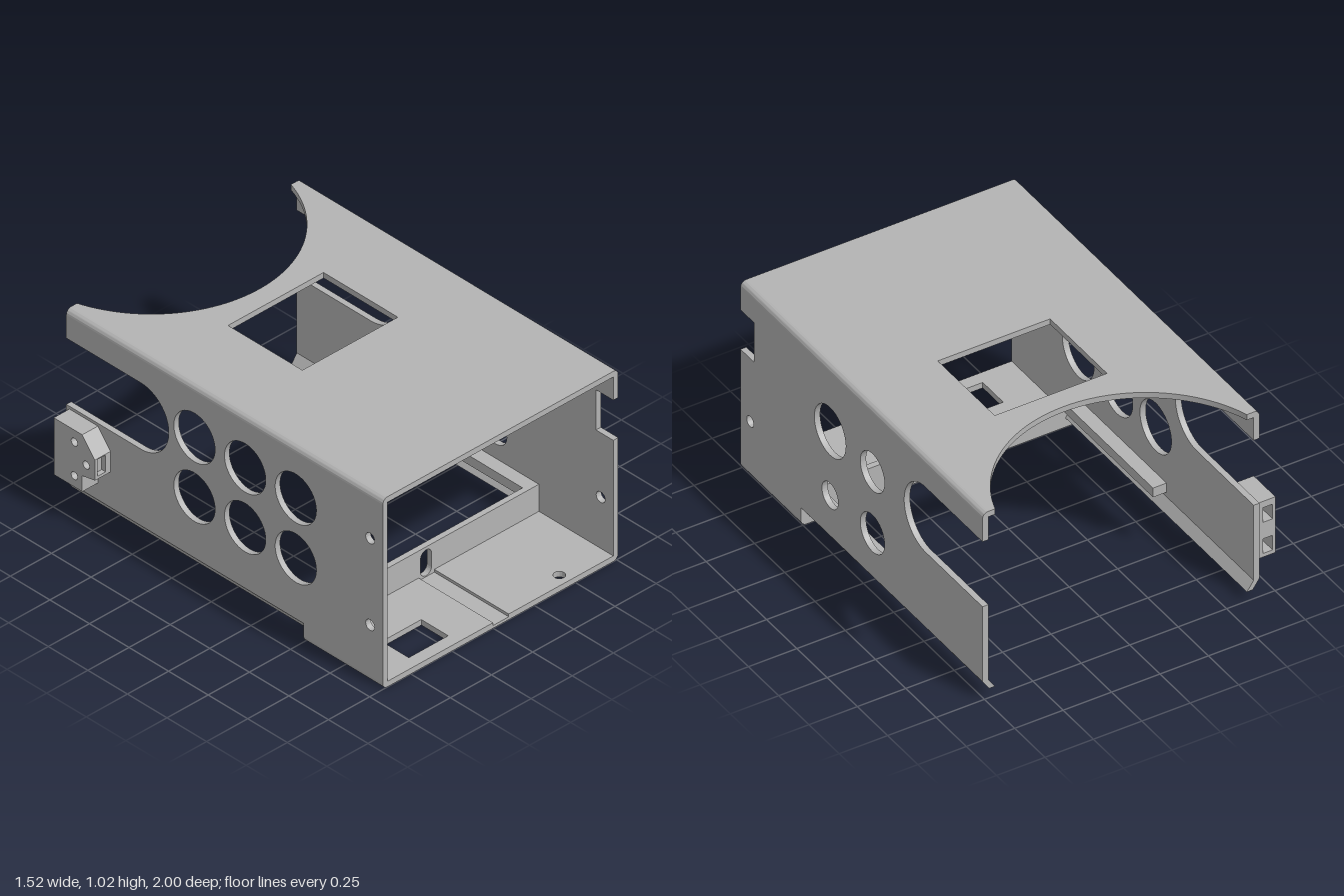
import * as THREE from 'three';
import { toCreasedNormals } from 'three/addons/utils/BufferGeometryUtils.js';

const X0 = -0.67, X1 = 0.76, H = 1.02, T = 0.03, MID = 0.045;

export function createModel() {
  const model = new THREE.Group();
  const grey = new THREE.MeshStandardMaterial({ color: 0xb4b4b4 });
  grey.name = 'grey plastic';

  const add = (name, geometry, x = 0, y = 0, z = 0, parent = model) => {
    const mesh = new THREE.Mesh(geometry, grey);
    mesh.name = name;
    mesh.position.set(x, y, z);
    parent.add(mesh);
    return mesh;
  };
  const extrude = (shape, depth) => toCreasedNormals(
    new THREE.ExtrudeGeometry(shape, { depth, bevelEnabled: false, curveSegments: 32 }), 0.5);
  // horizontal sheet: shape in (x, z), hanging down from its top
  const flat = (shape, depth) => extrude(shape, depth).rotateX(Math.PI / 2);
  // upright sheet: shape in (z, y), growing towards -x
  const upright = (shape, depth) => extrude(shape, depth).rotateY(-Math.PI / 2);
  const poly = (pts) => new THREE.Shape(pts.map(([a, b]) => new THREE.Vector2(a, b)));
  const rect = (a0, b0, a1, b1) => poly([[a0, b0], [a1, b0], [a1, b1], [a0, b1]]);
  const circle = (a, b, r) => new THREE.Path().absarc(a, b, r, 0, Math.PI * 2);
  const box = (name, x0, x1, y0, y1, z0, z1) => add(name,
    new THREE.BoxGeometry(x1 - x0, y1 - y0, z1 - z0), (x0 + x1) / 2, (y0 + y1) / 2, (z0 + z1) / 2);

  // Top panel with a round cut at the back and a window
  const R = 0.682, cz = -1.207, half = Math.sqrt(R * R - (cz + 1) ** 2);
  const a = Math.atan2(-1 - cz, half);
  const top = new THREE.Shape();
  top.moveTo(X0 + T, -1);
  top.lineTo(MID - half, -1);
  top.absarc(MID, cz, R, Math.PI - a, a, true);
  top.lineTo(X1 - T, -1);
  top.lineTo(X1 - T, 1);
  top.lineTo(X0 + T, 1);
  top.holes.push(rect(-0.245, -0.42, 0.335, 0.05));
  add('topPanel', flat(top, T), 0, H, 0);

  // Side walls: open slot at the back, raised lower edge behind the tray
  const wallShape = (notched, holes) => {
    const s = new THREE.Shape();
    s.moveTo(1, T);
    if (notched) for (const [z, y] of [[1, 0.65], [0.89, 0.65], [0.89, 0.865], [1, 0.865]]) s.lineTo(z, y);
    s.lineTo(1, H - T);
    s.lineTo(-1, H - T);
    s.lineTo(-1, 0.865);
    s.lineTo(-0.53, 0.865);
    s.absarc(-0.53, 0.6875, 0.1775, Math.PI / 2, -Math.PI / 2, true);
    s.lineTo(-1, 0.51);
    s.lineTo(-1, 0.1);
    s.lineTo(0.5, 0.1);
    s.lineTo(0.5, T);
    for (const h of holes) s.holes.push(circle(...h));
    return s;
  };
  add('leftWall', upright(wallShape(true, [[0.26, 0.67, 0.13], [-0.09, 0.67, 0.1],
    [0.26, 0.32, 0.067], [-0.09, 0.335, 0.1], [0.92, 0.305, 0.028]]), T), X1, 0, 0);
  const rightHoles = [[0.92, 0.77, 0.028], [0.92, 0.305, 0.028]];
  for (const z of [0.45, 0.13, -0.19]) for (const y of [0.745, 0.425]) rightHoles.push([z, y, 0.13]);
  add('rightWall', upright(wallShape(false, rightHoles), T), X0 + T, 0, 0);

  // Rounded long edges
  const corner = (name, x, y, quarter, z0) => {
    const s = new THREE.Shape();
    const t = quarter * Math.PI / 2;
    s.moveTo(0, 0);
    s.lineTo(T * Math.cos(t), T * Math.sin(t));
    s.absarc(0, 0, T, t, t + Math.PI / 2);
    s.lineTo(0, 0);
    add(name, extrude(s, 1 - z0), x, y, z0);
  };
  corner('topLeftEdge', X1 - T, H - T, 0, -1);
  corner('topRightEdge', X0 + T, H - T, 1, -1);
  corner('bottomRightEdge', X0 + T, T, 2, 0.5);
  corner('bottomLeftEdge', X1 - T, T, 3, 0.5);

  // Floor in two layers; the upper one leaves a shallow groove
  const cutout = () => rect(-0.45, 0.765, -0.21, 0.935);
  const drill = () => circle(0.46, 0.94, 0.028);
  const lower = rect(X0 + T, 0.5, X1 - T, 1);
  lower.holes.push(cutout(), drill());
  add('floor', flat(lower, T / 2), 0, T / 2, 0);
  const upperRight = rect(X0 + T, 0.5, 0, 1);
  upperRight.holes.push(cutout());
  add('floorTopRight', flat(upperRight, T / 2), 0, T, 0);
  const upperLeft = rect(0.095, 0.5, X1 - T, 1);
  upperLeft.holes.push(drill());
  add('floorTopLeft', flat(upperLeft, T / 2), 0, T, 0);

  // Low cross wall with an oval opening
  const cross = rect(X0 + T, T / 2, X1 - T, 0.175);
  const oval = new THREE.Path();
  oval.absarc(MID, 0.126, 0.033, 0, Math.PI);
  oval.absarc(MID, 0.054, 0.033, Math.PI, Math.PI * 2);
  cross.holes.push(oval);
  add('crossWall', extrude(cross, T), 0, 0, 0.5);

  // Inward lips under the walls, and support rails
  for (const side of [1, -1]) {
    const x = (d) => MID + side * (0.715 - d);
    const pts = [[x(0), 0.1], [x(T), 0.1], [x(0.065), 0.05], [x(0.035), 0.05]];
    add('lowerLip', extrude(poly(pts), 1.5), 0, 0, -1);
    const [p, q] = [x(T), x(0.1)];
    box('rail', Math.min(p, q), Math.max(p, q), 0.125, 0.175, -0.28, 0.5);
  }

  // Hollow pegs under the top panel
  for (const x of [-0.385, 0.43]) for (const z of [-0.43, 0.06]) {
    const ring = new THREE.Shape().absarc(0, 0, 0.029, 0, Math.PI * 2);
    ring.holes.push(circle(0, 0, 0.013));
    add('peg', flat(ring, 0.045), x, H - T, z);
  }

  // Side bracket: two plates around a pocketed core
  const bracket = new THREE.Group();
  bracket.name = 'sideBracket';
  model.add(bracket);
  const front = [[-0.8, 0.19], [-0.8, 0.275], [-0.72, 0.29]];
  const upper = [[-0.72, 0.4], [-0.8, 0.495], [-0.98, 0.495]];
  const pocketFront = [[-0.72, 0.305], [-0.745, 0.305], [-0.745, 0.395], [-0.72, 0.395]];
  const pocketsBack = [[-0.98, 0.46], [-0.9, 0.46], [-0.9, 0.38], [-0.98, 0.38],
    [-0.98, 0.29], [-0.9, 0.29], [-0.9, 0.21], [-0.98, 0.21]];
  const layer = (name, pts, x0, x1, holes) => {
    const s = poly([...pts, [-0.98, 0.19]]);
    for (const [z, y] of holes) s.holes.push(circle(z, y, 0.02));
    add(name, upright(s, x1 - x0), x1, 0, 0, bracket);
  };
  const bores = [[-0.85, 0.25], [-0.85, 0.43], [-0.775, 0.345]];
  layer('bracketOuterPlate', [...front, ...upper], -0.765, -0.75, bores);
  layer('bracketCore', [...front, ...pocketFront, ...upper, ...pocketsBack], -0.75, -0.7, bores);
  layer('bracketInnerPlate', [...front, ...upper], -0.7, X0, []);

  return model;
}
